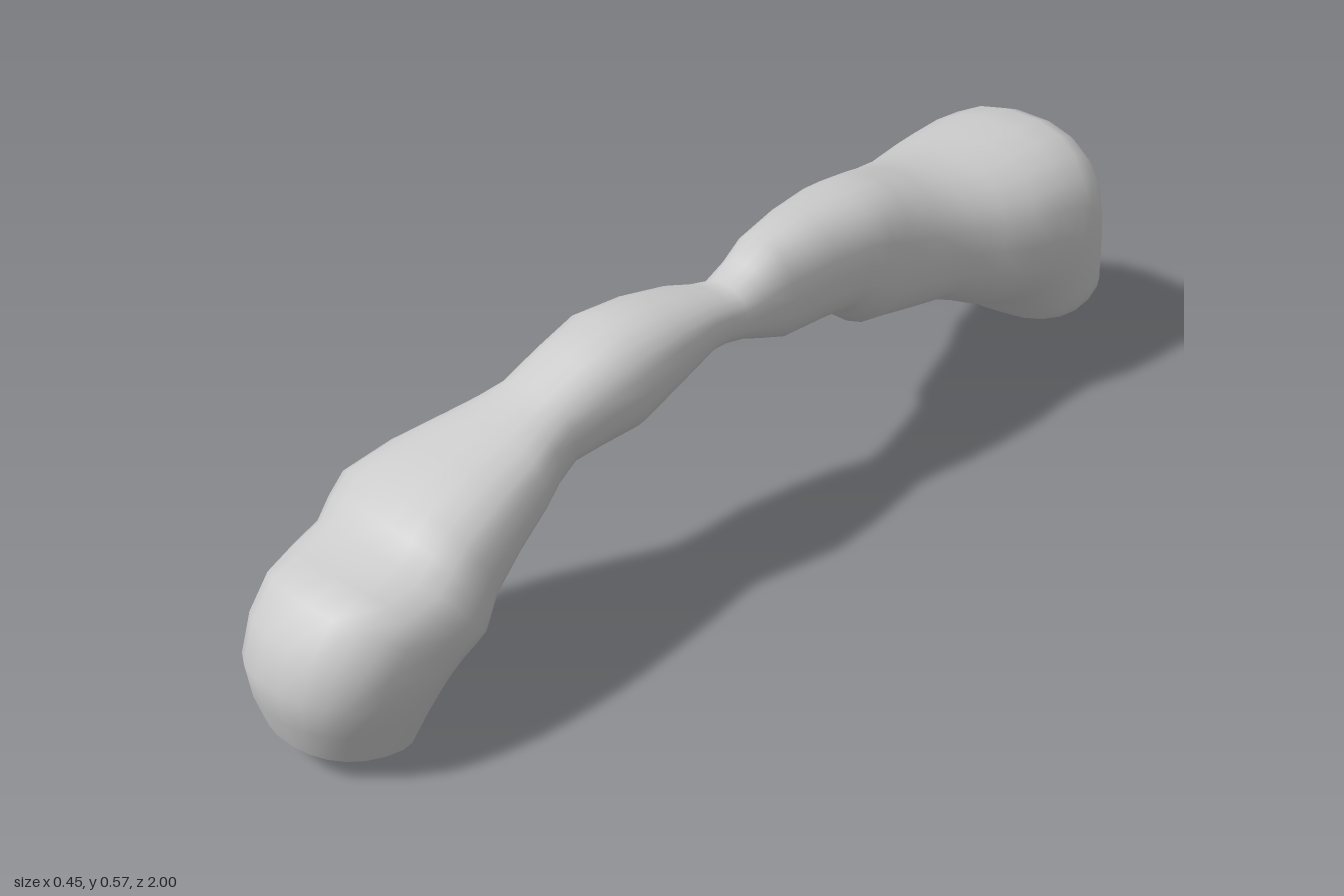
import * as THREE from 'three';

const SIDES = 22;
const STEPS = 2; // rings per section

// Each section: top z, top y, bottom z, bottom y, x min, x max
const SECTIONS = [
  [0.965, 0.065, 0.75, 0.005, -0.065, 0.155],
  [1.0, 0.2, 0.705, 0.12, -0.085, 0.21],
  [0.93, 0.325, 0.675, 0.145, -0.095, 0.223],
  [0.8, 0.352, 0.65, 0.165, -0.118, 0.222],
  [0.72, 0.408, 0.625, 0.21, -0.135, 0.21],
  [0.54, 0.457, 0.5, 0.295, -0.075, 0.17],
  [0.45, 0.485, 0.42, 0.34, -0.035, 0.145],
  [0.3, 0.55, 0.29, 0.355, -0.038, 0.167],
  [0.11, 0.53, 0.11, 0.42, -0.01, 0.14],
  [0.03, 0.515, 0.02, 0.41, 0.015, 0.13],
  [-0.06, 0.567, -0.09, 0.37, -0.002, 0.142],
  [-0.28, 0.572, -0.25, 0.357, -0.06, 0.15],
  [-0.39, 0.557, -0.31, 0.3, -0.085, 0.148],
  [-0.56, 0.51, -0.52, 0.262, -0.15, 0.155],
  [-0.72, 0.508, -0.63, 0.21, -0.198, 0.185],
  [-0.88, 0.505, -0.71, 0.175, -0.215, 0.192],
  [-0.95, 0.46, -0.75, 0.145, -0.225, 0.192],
  [-0.975, 0.28, -0.79, 0.122, -0.2, 0.182],
  [-1.0, 0.2, -0.8, 0.117, -0.155, 0.165],
  [-1.0, 0.14, -0.805, 0.115, -0.095, 0.13],
];

// Smooth guide lines: one carries the top edge and x min, the other the bottom edge and x max
const topLine = new THREE.CatmullRomCurve3(
  SECTIONS.map(([z, y, , , x]) => new THREE.Vector3(x, y, z)));
const bottomLine = new THREE.CatmullRomCurve3(
  SECTIONS.map(([, , z, y, , x]) => new THREE.Vector3(x, y, z)));

// Slightly squared oval lying in the plane through the top and bottom lines
function ringPoints(s) {
  const top = topLine.getPoint(s), bottom = bottomLine.getPoint(s);
  // the underside is hollowed along the middle of the front half
  const groove = 0.4 * Math.exp(-(((bottom.z - 0.3) / 0.22) ** 2));
  const soften = (v) => Math.sign(v) * Math.abs(v) ** 0.86;
  const points = [];
  for (let j = 0; j < SIDES; j++) {
    const a = (j / SIDES) * Math.PI * 2;
    const u = soften(Math.cos(a));
    let v = soften(Math.sin(a));
    if (v < 0) v += groove * Math.exp(-((u / 0.4) ** 2));
    const t = (v + 1) / 2;
    points.push(new THREE.Vector3(
      THREE.MathUtils.lerp(top.x, bottom.x, (u + 1) / 2),
      THREE.MathUtils.lerp(bottom.y, top.y, t),
      THREE.MathUtils.lerp(bottom.z, top.z, t),
    ));
  }
  return points;
}

function makeGeometry(points, index) {
  const geometry = new THREE.BufferGeometry().setFromPoints(points);
  geometry.setIndex(index);
  geometry.computeVertexNormals();
  return geometry;
}

// Skin joining all the rings
function bodyGeometry(rings) {
  const index = [];
  for (let i = 0; i < rings.length - 1; i++) {
    for (let j = 0; j < SIDES; j++) {
      const k = (j + 1) % SIDES;
      const a = i * SIDES + j, b = i * SIDES + k;
      const c = a + SIDES, d = b + SIDES;
      index.push(a, c, b, b, c, d);
    }
  }
  return makeGeometry(rings.flat(), index);
}

// Flat cut closing one end
function capGeometry(ring, flip) {
  const centre = new THREE.Vector3();
  ring.forEach((p) => centre.addScaledVector(p, 1 / SIDES));
  const index = [];
  for (let j = 0; j < SIDES; j++) {
    const k = (j + 1) % SIDES;
    index.push(SIDES, flip ? k : j, flip ? j : k);
  }
  return makeGeometry([...ring, centre], index);
}

export function createModel() {
  const group = new THREE.Group();
  group.name = 'archedBranch';
  const material = new THREE.MeshStandardMaterial({ color: 0xcccccc });
  const add = (name, geometry) => {
    const mesh = new THREE.Mesh(geometry, material);
    mesh.name = name;
    group.add(mesh);
  };
  const rings = [];
  const count = (SECTIONS.length - 1) * STEPS;
  for (let i = 0; i <= count; i++) rings.push(ringPoints(i / count));
  add('archBody', bodyGeometry(rings));
  add('frontCutEnd', capGeometry(rings[0], false));
  add('backCutEnd', capGeometry(rings[count], true));
  return group;
}
